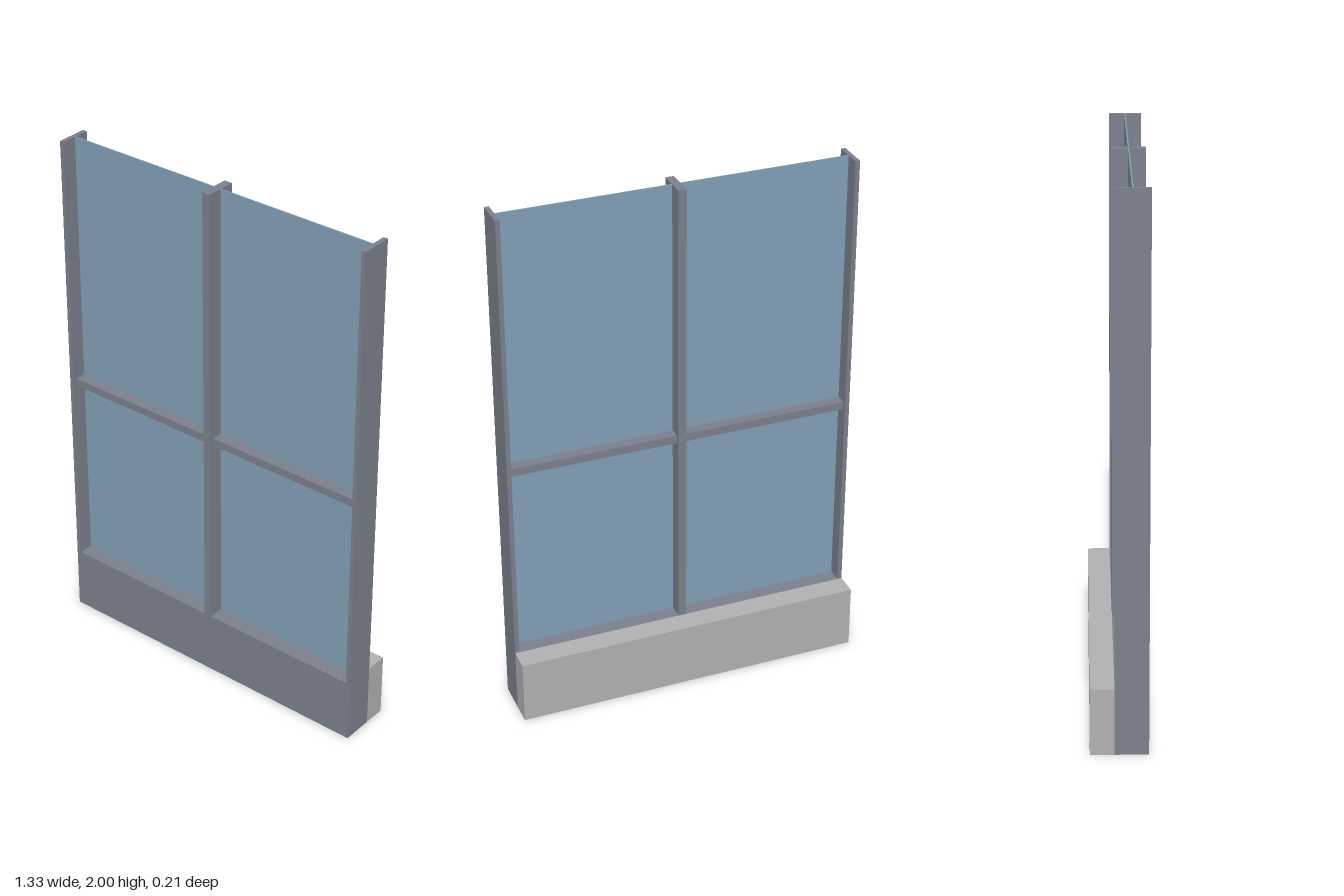
import * as THREE from 'three';

const HALF_W = 0.663;   // half of the overall width
const FRONT = 0.103;    // front face of the frame
const BACK = -0.017;    // back face of the frame
const BASE_H = 0.248;   // height of the solid base
const POST_W = 0.017;
const MULLION = 0.0155; // half width of the centre mullion

function material(name, color) {
  const m = new THREE.MeshStandardMaterial({ color });
  m.name = name;
  return m;
}

export function createModel() {
  const model = new THREE.Group();
  model.name = 'windowWall';

  const frame = material('frame grey', 0x7c818d);
  const glass = material('glass blue', 0x82a0b6);
  const stone = material('ledge grey', 0xb2b2b2);

  // Box given by its extents on each axis
  const box = (name, mat, [x0, x1], [y0, y1], [z0, z1]) => {
    const mesh = new THREE.Mesh(new THREE.BoxGeometry(x1 - x0, y1 - y0, z1 - z0), mat);
    mesh.position.set((x0 + x1) / 2, (y0 + y1) / 2, (z0 + z1) / 2);
    mesh.name = name;
    model.add(mesh);
  };

  // Solid base panel and the ledge behind it
  box('basePanel', frame, [-HALF_W, HALF_W], [0, BASE_H], [BACK, FRONT]);
  box('backLedge', stone, [-HALF_W, HALF_W], [0, BASE_H], [-FRONT, BACK]);

  // Centre mullion
  box('mullion', frame, [-MULLION, MULLION], [BASE_H, 2], [BACK, FRONT]);

  // Each side: outer post, transom and two panes
  for (const [side, s] of [['left', 1], ['right', -1]]) {
    const span = (a, b) => (s > 0 ? [a, b] : [-b, -a]);
    const bay = span(MULLION, HALF_W - POST_W);
    box(side + 'Post', frame, span(HALF_W - POST_W, HALF_W), [BASE_H, 2], [BACK, FRONT]);
    box(side + 'Transom', frame, bay, [1.0, 1.031], [-0.003, 0.087]);
    box(side + 'LowerPane', glass, bay, [BASE_H, 1.0], [0.0395, 0.0445]);
    box(side + 'UpperPane', glass, bay, [1.031, 2], [0.0395, 0.0445]);
  }

  return model;
}
